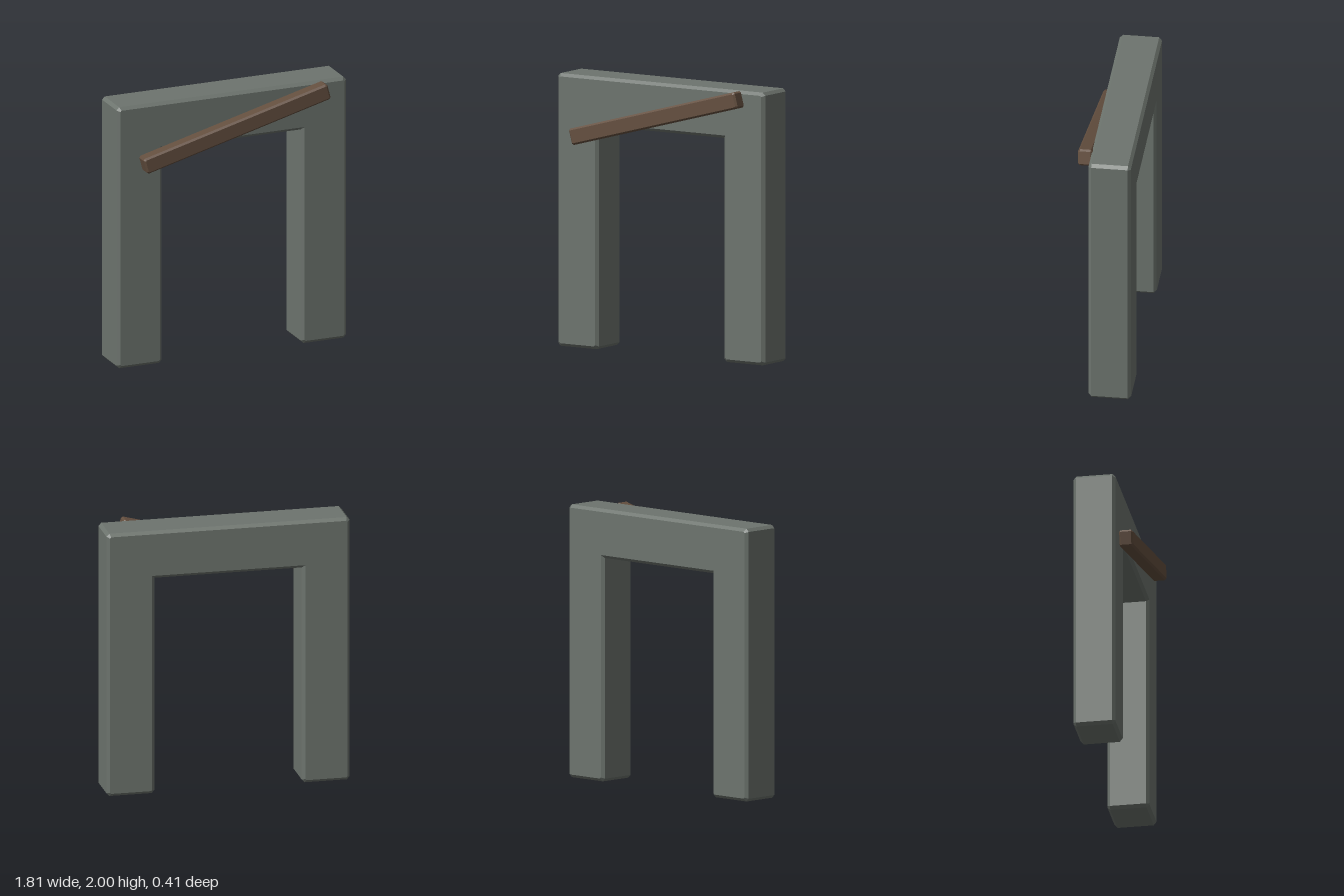
import * as THREE from 'three';

const stone = new THREE.MeshStandardMaterial({ color: 0x6d746e, flatShading: true });
const wood = new THREE.MeshStandardMaterial({ color: 0x644f3f, flatShading: true });

// Outline from [x, y, clip] corners; clip cuts the corner off
function clippedShape(corners, clip) {
  const points = [];
  corners.forEach(([x, y, cut], i) => {
    const p = new THREE.Vector2(x, y);
    if (!cut) return points.push(p);
    for (const step of [-1, 1]) {
      const n = corners[(i + step + corners.length) % corners.length];
      const dir = new THREE.Vector2(n[0] - x, n[1] - y).normalize();
      points.push(p.clone().addScaledVector(dir, clip));
    }
  });
  return new THREE.Shape(points);
}

// Chamfered slab whose silhouette is the outline, from z0 to z1
function slab(name, corners, chamfer, z0, z1, material) {
  const geometry = new THREE.ExtrudeGeometry(clippedShape(corners, chamfer), {
    depth: z1 - z0 - 2 * chamfer,
    bevelEnabled: true,
    bevelSegments: 1,
    bevelSize: chamfer,
    bevelThickness: chamfer,
    bevelOffset: -chamfer,
  });
  geometry.translate(0, 0, z0 + chamfer);
  const mesh = new THREE.Mesh(geometry, material);
  mesh.name = name;
  return mesh;
}

export function createModel() {
  const model = new THREE.Group();
  model.name = 'boardedDoorway';

  // Stone frame: two posts and a lintel in one piece
  const w = 0.905, inner = 0.548, top = 2, lintel = 1.64;
  model.add(slab('doorFrame', [
    [-w, 0, 1], [-inner, 0, 1], [-inner, lintel, 0], [inner, lintel, 0],
    [inner, 0, 1], [w, 0, 1], [w, top, 1], [-w, top, 1],
  ], 0.022, -0.205, 0.105, stone));

  // Slanted board across the front of the lintel
  const l = 0.75, h = 0.061;
  const board = slab('plank', [[-l, -h, 1], [l, -h, 1], [l, h, 1], [-l, h, 1]],
    0.013, 0.1, 0.205, wood);
  board.position.y = 1.75;
  board.rotation.z = THREE.MathUtils.degToRad(15);
  model.add(board);

  return model;
}
